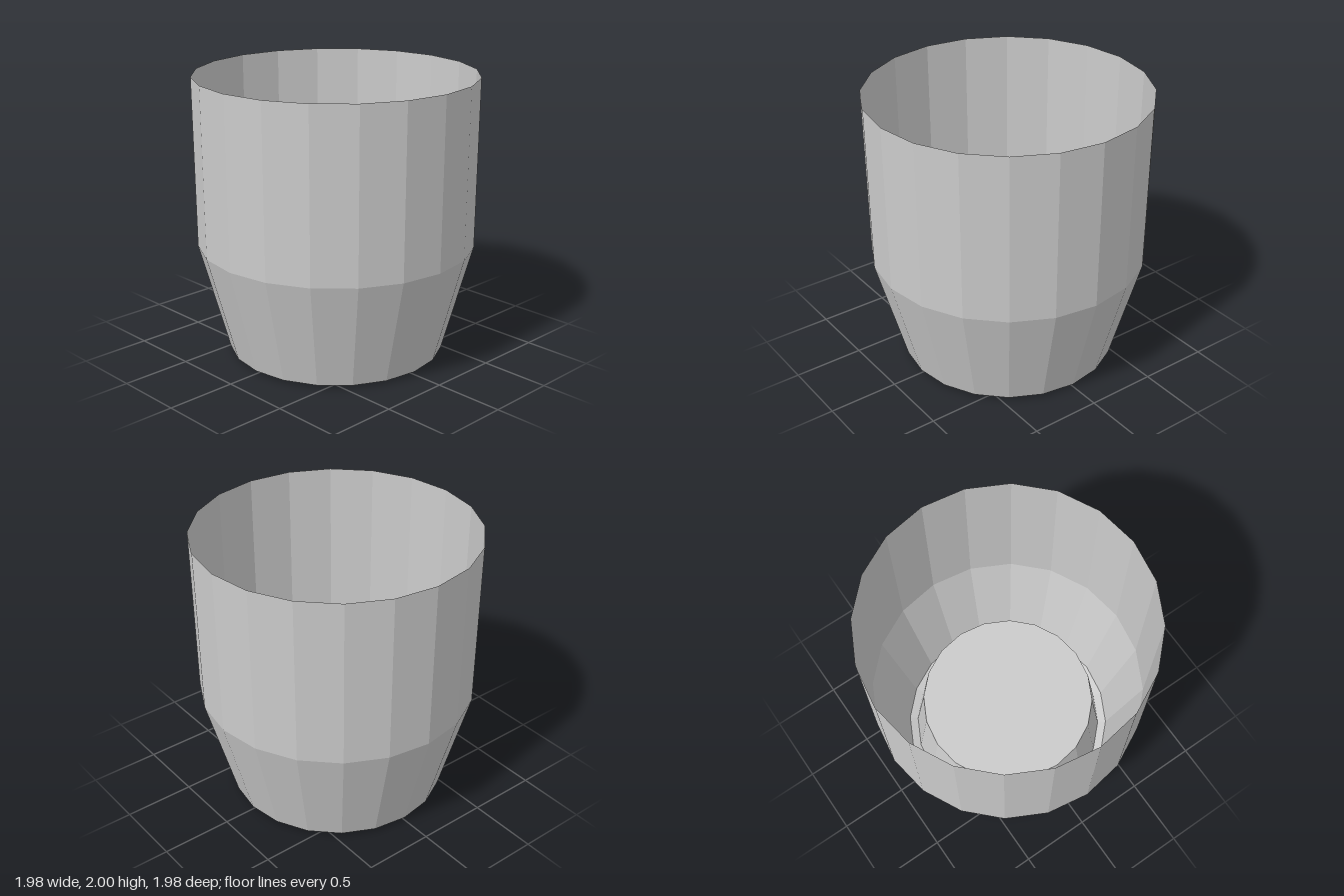
import * as THREE from 'three';

const SIDES = 20;

export function createModel() {
  const group = new THREE.Group();
  group.name = 'cup';

  const material = new THREE.MeshStandardMaterial({
    color: 0xcccccc,
    flatShading: true,
    side: THREE.DoubleSide,
  });

  // Each part is a thin faceted shell turned around the y axis
  const addShell = (name, profile) => {
    const points = profile.map(([r, y]) => new THREE.Vector2(r, y));
    const mesh = new THREE.Mesh(new THREE.LatheGeometry(points, SIDES), material);
    mesh.name = name;
    group.add(mesh);
  };

  // Outer wall: tapered lower half, nearly straight upper half, open rim
  addShell('wall', [[0.77, 0.02], [0.98, 0.8], [0.99, 2]]);

  // Narrow sloping ring the cup stands on
  addShell('footRing', [[0.71, 0], [0.77, 0.02]]);

  // Recess under the cup, which forms the raised floor inside
  addShell('recessWall', [[0.63, 0.53], [0.71, 0]]);
  const floor = new THREE.Mesh(new THREE.CircleGeometry(0.63, SIDES), material);
  floor.name = 'raisedFloor';
  floor.rotation.x = -Math.PI / 2;
  floor.position.y = 0.53;
  group.add(floor);

  return group;
}
